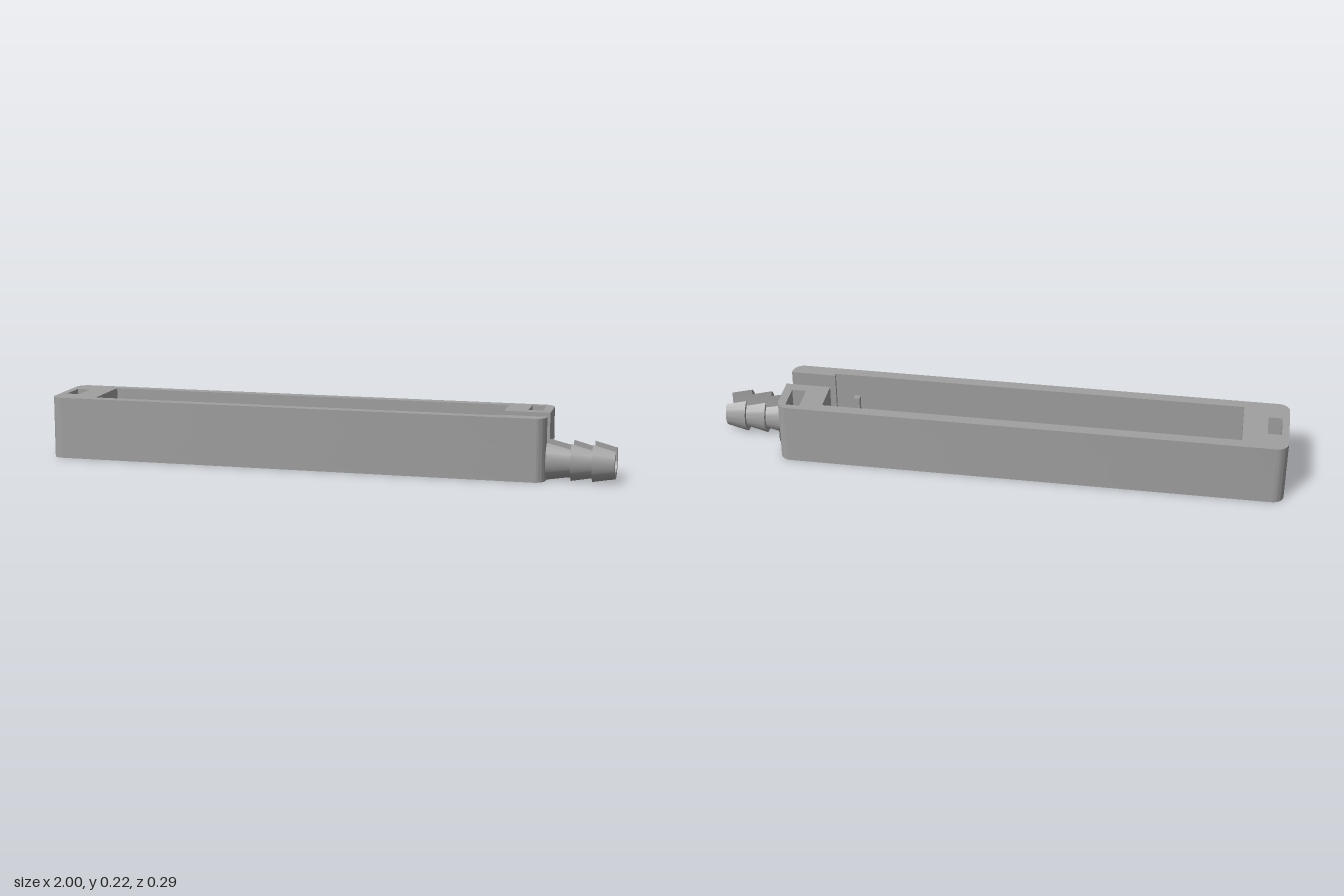
import * as THREE from 'three';
import { mergeGeometries, toCreasedNormals } from 'three/addons/utils/BufferGeometryUtils.js';

const X0 = -1, X1 = 0.77, W = 0.143, CORNER = 0.04;      // body outline
const CAV0 = -0.842, CAV1 = 0.612, CAVW = 0.105, FLOOR = 0.036; // cavity
const BZ = 0.0535, BY = 0.066, BR = 0.039;               // bore centre and radius
const HOLE_Y0 = 0.057, HOLE_Y1 = 0.112, TOP = 0.218;     // strap channels
const RH = { x: 0.69, xo: 0.74, z0: -0.12, z1: -0.023 };
const LH = { x: -0.927, xo: -0.975, z0: -0.052, z1: 0.052 };

// Horizontal slice of the body, in (x, z), between heights y0 and y1
function slab(y0, y1, { slot = false, cavity = false, channels = false, holes = false }) {
  const s = new THREE.Shape();
  s.moveTo(X0 + CORNER, -W);
  s.lineTo(X1 - CORNER, -W);
  s.absarc(X1 - CORNER, -W + CORNER, CORNER, -Math.PI / 2, 0, false);
  const path = (...pts) => pts.forEach(([x, z]) => s.lineTo(x, z));
  if (channels) path([X1, RH.z0], [RH.x, RH.z0], [RH.x, RH.z1], [X1, RH.z1]);
  if (slot) {
    path([X1, BZ - BR], [CAV1, BZ - BR]);
    if (cavity) path([CAV1, -CAVW], [CAV0, -CAVW], [CAV0, CAVW], [CAV1, CAVW]);
    path([CAV1, BZ + BR], [X1, BZ + BR]);
  }
  s.absarc(X1 - CORNER, W - CORNER, CORNER, 0, Math.PI / 2, false);
  s.absarc(X0 + CORNER, W - CORNER, CORNER, Math.PI / 2, Math.PI, false);
  if (channels) path([X0, LH.z1], [LH.x, LH.z1], [LH.x, LH.z0], [X0, LH.z0]);
  s.absarc(X0 + CORNER, -W + CORNER, CORNER, Math.PI, Math.PI * 1.5, false);
  if (holes) {
    for (const h of [RH, LH]) {
      s.holes.push(new THREE.Path([[h.x, h.z0], [h.x, h.z1], [h.xo, h.z1], [h.xo, h.z0]]
        .map(([x, z]) => new THREE.Vector2(x, z))));
    }
  }
  const g = new THREE.ExtrudeGeometry(s, { depth: y1 - y0, bevelEnabled: false, curveSegments: 10 });
  return g.rotateX(Math.PI / 2).translate(0, y1, 0);
}

// Rounded bottom of the slot through the end wall
function cradle() {
  const s = new THREE.Shape();
  s.moveTo(-BZ - BR, BY);
  s.lineTo(-BZ - BR, 0.026);
  s.lineTo(-BZ + BR, 0.026);
  s.lineTo(-BZ + BR, BY);
  s.absarc(-BZ, BY, BR, 0, Math.PI, true);
  const g = new THREE.ExtrudeGeometry(s, { depth: X1 - CAV1, bevelEnabled: false, curveSegments: 24 });
  return g.rotateY(Math.PI / 2).translate(CAV1, 0, 0);
}

// Barbed spout: open-topped sections lofted along x, flattened at the base
function spout() {
  const N = 40, big = 0.074, small = 0.058;
  const steps = [[0.77, big], [0.853, small], [0.853, big], [0.925, small], [0.925, big], [1, small]];
  const section = ([x, R]) => {
    const loop = [], a = Math.asin(BR / R);
    const add = (r, t) => loop.push([x, Math.max(0, BY + r * Math.cos(t)), BZ + r * Math.sin(t)]);
    for (let i = 0; i <= N; i++) add(R, a + (2 * Math.PI - 2 * a) * i / N);
    for (let i = N - 1; i >= 1; i--) add(BR, Math.PI / 2 + Math.PI * (i - 1) / (N - 2));
    return loop;
  };
  const rings = steps.map(section), M = 2 * N, pos = [];
  const quad = (a, b, c, d) => pos.push(...a, ...b, ...d, ...b, ...c, ...d);
  for (let j = 0; j < rings.length - 1; j++) {
    const p = rings[j], q = rings[j + 1];
    for (let k = 0; k < M; k++) {
      const n = (k + 1) % M;
      quad(p[k], p[n], q[n], q[k]);
    }
  }
  // Tip face
  const tip = rings[rings.length - 1];
  const inner = i => tip[(M - i) % M];
  for (let i = 0; i < N; i++) quad(tip[i], tip[i + 1], i + 1 === N ? tip[N] : inner(i + 1), inner(i));
  const g = new THREE.BufferGeometry();
  g.setAttribute('position', new THREE.Float32BufferAttribute(pos, 3));
  return toCreasedNormals(g, 0.5);
}

export function createModel() {
  const group = new THREE.Group();
  const grey = new THREE.MeshStandardMaterial({ color: 0xa0a0a0 });
  grey.name = 'grey plastic';
  const add = (name, geometry) => {
    const m = new THREE.Mesh(geometry, grey);
    m.name = name;
    group.add(m);
  };
  const box = (x0, x1, y0, y1, z0, z1) => new THREE.BoxGeometry(x1 - x0, y1 - y0, z1 - z0)
    .translate((x0 + x1) / 2, (y0 + y1) / 2, (z0 + z1) / 2);

  // Housing, stacked from floor to rim
  const body = mergeGeometries([
    slab(0, 0.027, {}),
    slab(0.027, FLOOR, { slot: true }),
    slab(FLOOR, HOLE_Y0, { slot: true, cavity: true }),
    slab(HOLE_Y0, HOLE_Y1, { slot: true, cavity: true, channels: true }),
    slab(HOLE_Y1, TOP, { slot: true, cavity: true, holes: true }),
  ]);
  add('housing', toCreasedNormals(body, 0.5));
  add('slotCradle', toCreasedNormals(cradle(), 0.5));
  add('barbedSpout', spout());

  // Ledges and stop pegs along both cavity walls
  for (const [side, s] of [['left', 1], ['right', -1]]) {
    const a = s > 0 ? 0.087 : -CAVW, b = s > 0 ? CAVW : -0.087;
    add(side === 'left' ? 'frontLedge' : 'backLedge', box(CAV0, 0.53, FLOOR, 0.08, a, b));
    const c = s > 0 ? 0.084 : -CAVW, d = s > 0 ? CAVW : -0.084;
    add(side === 'left' ? 'frontPeg' : 'backPeg', box(0.525, 0.545, FLOOR, 0.134, c, d));
  }
  return group;
}
